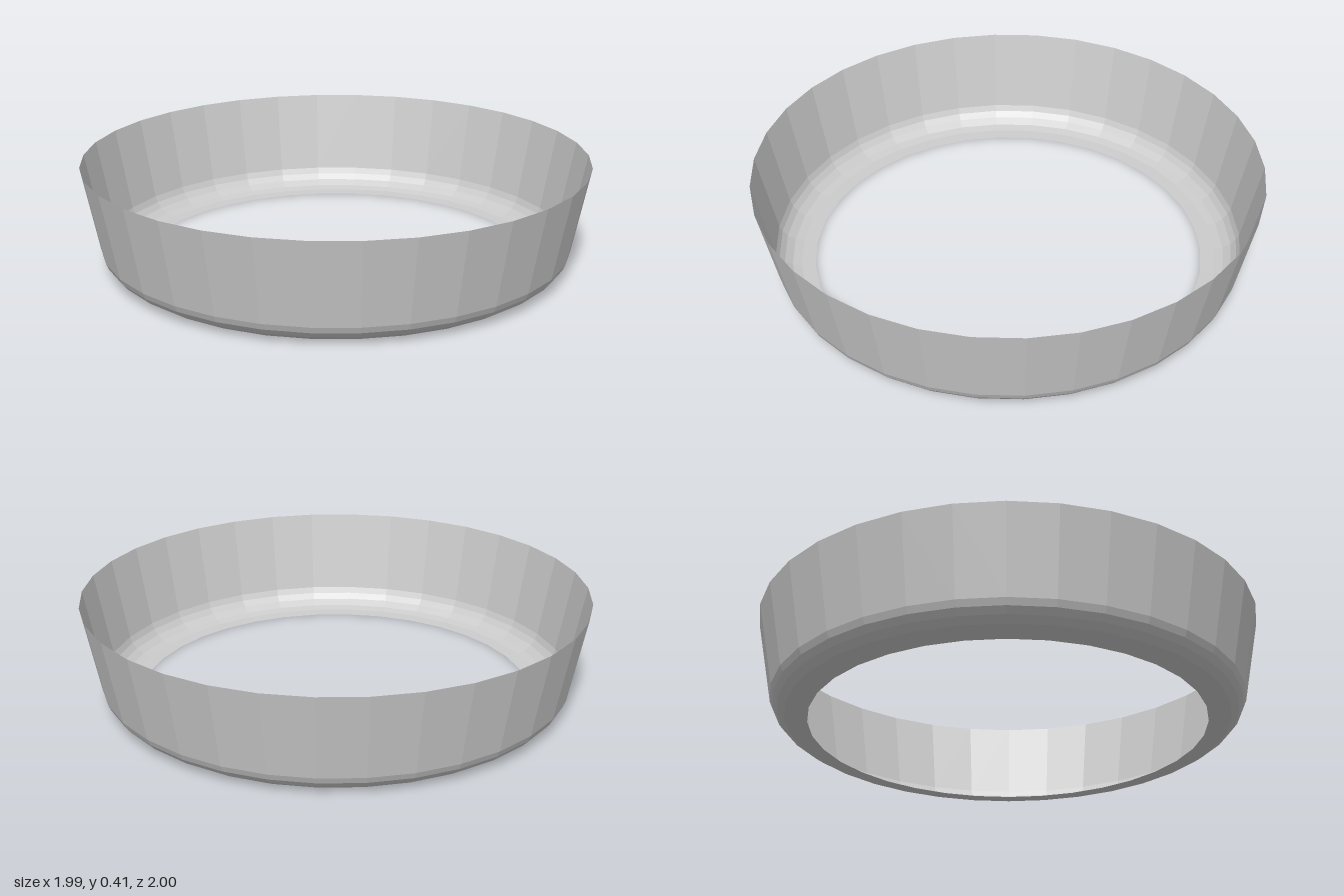
import * as THREE from 'three';

const SIDES = 34;

export function createModel() {
  const group = new THREE.Group();
  group.name = 'openRing';

  // Profile from the hole in the floor, round the bottom bend, up to the rim
  const profile = [
    [0.785, 0],
    [0.84, 0.003],
    [0.875, 0.012],
    [0.905, 0.032],
    [0.924, 0.055],
    [0.935, 0.08],
    [1.0, 0.415],
  ].map(([r, y]) => new THREE.Vector2(r, y));

  // Thin flared wall with a narrow inward floor lip
  const wall = new THREE.Mesh(
    new THREE.LatheGeometry(profile, SIDES),
    new THREE.MeshStandardMaterial({
      color: 0xcccccc,
      flatShading: true,
      side: THREE.DoubleSide,
    })
  );
  wall.name = 'flaredWall';
  group.add(wall);

  return group;
}
